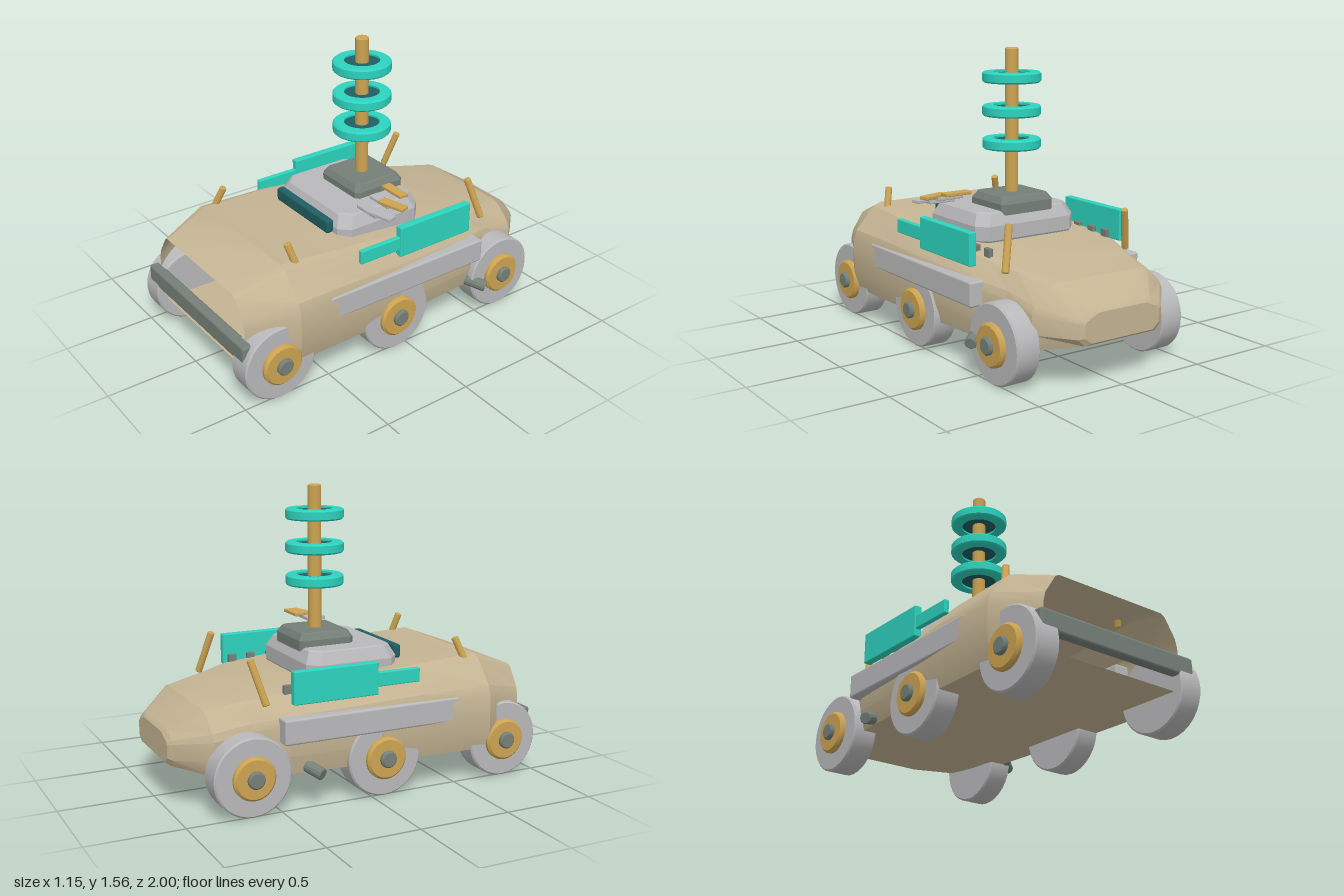
import * as THREE from 'three';
import { toCreasedNormals } from 'three/addons/utils/BufferGeometryUtils.js';
import { RoundedBoxGeometry } from 'three/addons/geometries/RoundedBoxGeometry.js';

const paint = (name, color) => {
  const m = new THREE.MeshStandardMaterial({ color });
  m.name = name;
  return m;
};
const tan = paint('sand', 0xc4b493);
tan.side = THREE.DoubleSide;
const grey = paint('light grey', 0xb9b9bb);
const gold = paint('ochre', 0xcda452);
const teal = paint('turquoise', 0x2dd4bf);
const darkTeal = paint('dark teal', 0x1f5e63);
const slate = paint('slate', 0x758078);

export function createModel() {
  const model = new THREE.Group();
  model.name = 'sixWheeledRover';

  const add = (name, geometry, material, x = 0, y = 0, z = 0) => {
    const mesh = new THREE.Mesh(geometry, material);
    mesh.name = name;
    mesh.position.set(x, y, z);
    model.add(mesh);
    return mesh;
  };
  const box = (name, material, w, h, d, x, y, z, r = 0.006) =>
    add(name, new RoundedBoxGeometry(w, h, d, 2, r), material, x, y, z);
  // Round part turned from [radius, height] points
  const lathe = (points, sides) => toCreasedNormals(
    new THREE.LatheGeometry(points.map(([r, h]) => new THREE.Vector2(r, h)), sides), 0.5);
  const disc = (r, h, bevel, sides = 28) => lathe([[0, -h / 2], [r - bevel, -h / 2],
    [r, -h / 2 + bevel], [r, h / 2 - bevel], [r - bevel, h / 2], [0, h / 2]], sides);
  // Rod between two points
  const rod = (name, material, r, from, to) => {
    const a = new THREE.Vector3(...from), b = new THREE.Vector3(...to);
    const mesh = add(name, disc(r, a.distanceTo(b), 0.004, 12), material);
    mesh.position.copy(a).add(b).multiplyScalar(0.5);
    mesh.quaternion.setFromUnitVectors(new THREE.Vector3(0, 1, 0), b.sub(a).normalize());
  };

  add('hull', hullGeometry(), tan);

  // Wheels with hubs and caps
  for (const s of [1, -1]) {
    for (const z of [0.795, 0.07, -0.657]) {
      const turn = (mesh) => { mesh.rotation.z = -s * Math.PI / 2; };
      turn(add('wheel', disc(0.205, 0.135, 0.008, 32), grey, s * 0.4525, 0.21, z));
      turn(add('hub', disc(0.112, 0.08, 0.012), gold, s * 0.508, 0.21, z));
      turn(add('hubCap', disc(0.045, 0.08, 0.008, 18), slate, s * 0.53, 0.21, z));
    }
    // Side pods and hanging panels
    box('sidePod', grey, 0.09, 0.13, 1.0, s * 0.495, 0.417, 0.005, 0.012);
    box('rearPanel', teal, 0.042, 0.17, 0.47, s * 0.48, 0.625, -0.195);
    box('frontPanel', teal, 0.028, 0.075, 0.25, s * 0.48, 0.617, 0.16);
    // Studs along the roof edge
    for (const z of [-0.41, -0.3, -0.185])
      box('roofStud', slate, 0.025, 0.06, 0.045, s * 0.375, 0.585, z, 0.004);
  }

  box('bumper', slate, 0.97, 0.105, 0.06, 0, 0.303, 0.96, 0.015);

  // Leaning roof pegs
  rod('frontPeg', gold, 0.019, [-0.39, 0.63, 0.625], [-0.348, 0.757, 0.582]);
  rod('frontPeg', gold, 0.019, [0.378, 0.63, 0.6], [0.345, 0.757, 0.634]);
  rod('rearPeg', gold, 0.019, [-0.407, 0.53, -0.538], [-0.345, 0.757, -0.598]);
  rod('rearPeg', gold, 0.019, [0.405, 0.53, -0.598], [0.343, 0.757, -0.54]);

  // Exhaust stubs
  rod('exhaust', slate, 0.032, [0.47, 0.215, -0.45], [0.558, 0.185, -0.52]);
  rod('exhaust', slate, 0.032, [-0.47, 0.215, -0.35], [-0.555, 0.185, -0.3]);

  // Turret block, visor and mast foot
  add('turret', blockGeometry([[0.295, 0.245, 0.57], [0.315, 0.262, 0.6], [0.315, 0.262, 0.675],
    [0.285, 0.232, 0.735], [0.275, 0.222, 0.742]], 0.055), grey, 0, 0, 0.008);
  box('visor', darkTeal, 0.475, 0.075, 0.045, 0, 0.685, 0.295, 0.014);
  add('mastFoot', blockGeometry([[0.165, 0.155, 0.72], [0.165, 0.155, 0.775],
    [0.145, 0.135, 0.808], [0.138, 0.128, 0.812]], 0.02), slate, 0, 0, -0.083);

  // Mast with three ringed discs
  add('mast', disc(0.036, 0.83, 0.006, 16), gold, 0, 1.155, -0.08);
  const ring = lathe([[0.095, -0.028], [0.147, -0.028], [0.155, -0.02], [0.155, 0.02],
    [0.147, 0.028], [0.095, 0.028], [0.095, -0.028]], 28);
  for (const y of [1.07, 1.243, 1.418]) {
    add('mastRing', ring, teal, 0, y, -0.08);
    add('mastDisc', disc(0.1, 0.036, 0.002), darkTeal, 0, y, -0.08);
  }

  // Fan of jointed bars beside the turret
  const bars = [[gold, 0.33, 0.828, -0.05, 0], [grey, 0.33, 0.795, 0.03, 0],
    [grey, 0.33, 0.764, 0.11, 0], [gold, 0.418, 0.81, 0.03, 0.26], [grey, 0.418, 0.779, 0.11, 0.26]];
  for (const [material, x, y, z, turn] of bars)
    box('armBar', material, 0.155, 0.018, 0.055, x, y, z, 0.004).rotation.y = turn;

  return model;
}

// Hull skin lofted front to back: open at the nose, closed at the tail
function hullGeometry() {
  // z, top half width, top y, side half width, side upper y, side lower y, floor half width, floor y
  const sections = [
    [0.945, 0.33, 0.57, 0.43, 0.41, 0.28, 0.39, 0.175],
    [0.69, 0.37, 0.665, 0.547, 0.46, 0.28, 0.515, 0.175],
    [0.3, 0.39, 0.643, 0.535, 0.46, 0.28, 0.51, 0.177],
    [-0.45, 0.37, 0.572, 0.49, 0.44, 0.28, 0.465, 0.18],
    [-0.62, 0.32, 0.544, 0.42, 0.41, 0.28, 0.4, 0.185],
    [-0.82, 0.27, 0.51, 0.41, 0.38, 0.28, 0.375, 0.2],
    [-0.98, 0.16, 0.41, 0.26, 0.35, 0.27, 0.22, 0.232],
    [-0.997, 0.13, 0.39, 0.23, 0.345, 0.275, 0.19, 0.245],
  ];
  const lerp = THREE.MathUtils.lerp;
  const rings = sections.map(([z, tx, ty, sx, su, sl, bx, by]) => {
    const half = [[bx, by], [sx, sl], [sx, su], [lerp(sx, tx, 0.12), lerp(su, ty, 0.3)],
      [lerp(sx, tx, 0.75), lerp(su, ty, 0.92)], [tx, ty]];
    const other = half.map(([x, y]) => [-x, y]).reverse();
    return [...half, ...other].map(([x, y]) => [x, y, z]);
  });
  return loft(rings, false, true);
}

// Block with cut corners, stacked from [half width, half depth, y] levels
function blockGeometry(levels, cut) {
  const rings = levels.map(([w, d, y]) => [
    [w, y, d - cut], [w, y, cut - d], [w - cut, y, -d], [cut - w, y, -d],
    [-w, y, cut - d], [-w, y, d - cut], [cut - w, y, d], [w - cut, y, d]]);
  return loft(rings.reverse(), true, true);
}

// Skin between rings, with optional end caps
function loft(rings, capFirst, capLast) {
  const n = rings[0].length, pos = [];
  const tri = (a, b, c) => pos.push(...a, ...b, ...c);
  for (let i = 0; i < rings.length - 1; i++) {
    for (let j = 0; j < n; j++) {
      const k = (j + 1) % n;
      const [a, b, c, d] = [rings[i][j], rings[i][k], rings[i + 1][j], rings[i + 1][k]];
      tri(a, c, b);
      tri(b, c, d);
    }
  }
  const first = rings[0], last = rings[rings.length - 1];
  for (let j = 1; j < n - 1; j++) {
    if (capFirst) tri(first[0], first[j], first[j + 1]);
    if (capLast) tri(last[0], last[j + 1], last[j]);
  }
  const g = new THREE.BufferGeometry();
  g.setAttribute('position', new THREE.Float32BufferAttribute(pos, 3));
  return toCreasedNormals(g, 0.35);
}
